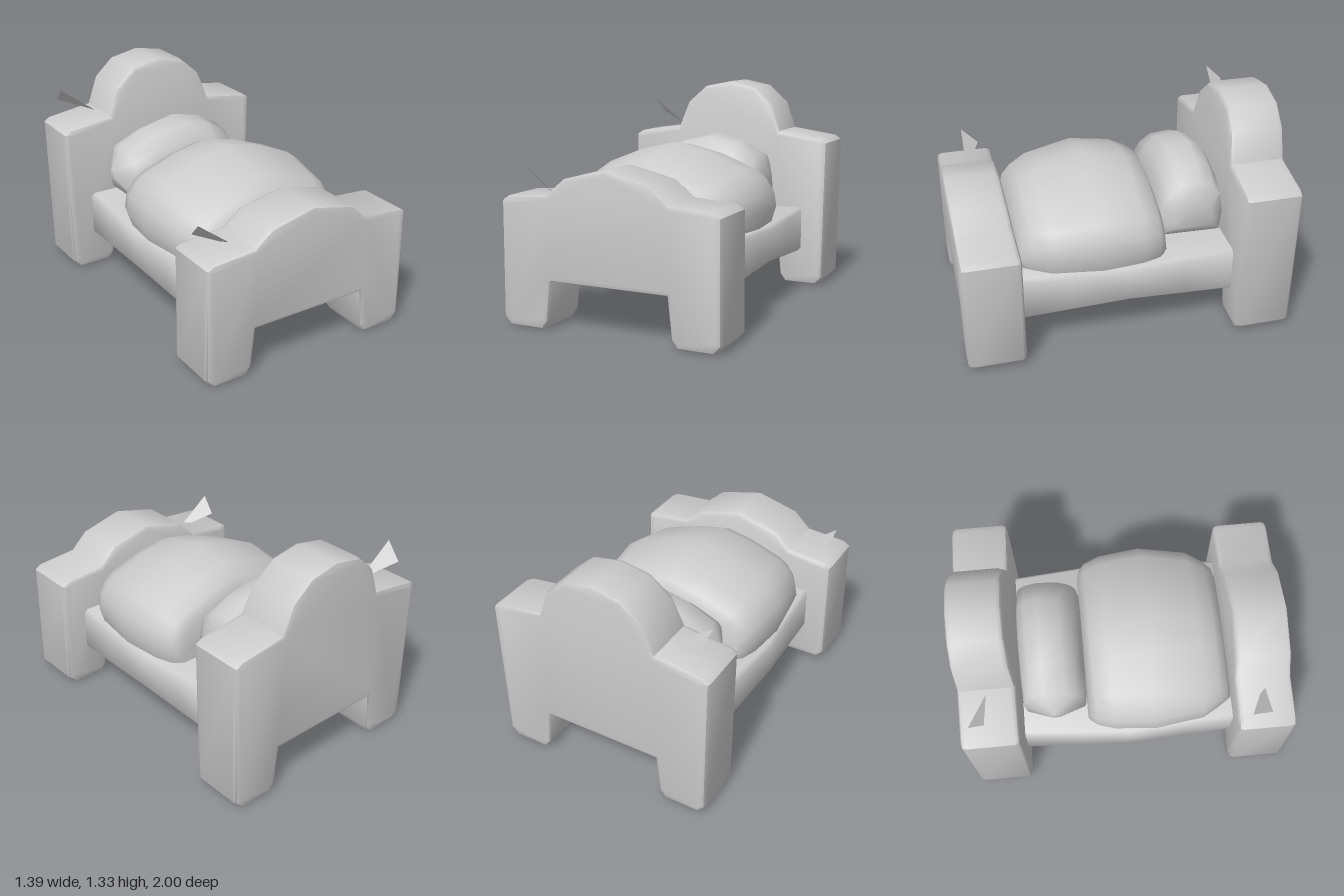
import * as THREE from 'three';
import { toCreasedNormals, mergeVertices } from 'three/addons/utils/BufferGeometryUtils.js';

const material = new THREE.MeshStandardMaterial({ color: 0xcccccc });

function addMesh(group, name, geometry, mat = material) {
  const mesh = new THREE.Mesh(geometry, mat);
  mesh.name = name;
  group.add(mesh);
  return mesh;
}

// Skin through closed rings of points, with a fan closing each end
function loft(rings, crease = 0.9) {
  const n = rings[0].length;
  const points = rings.flat();
  const index = [];
  for (let r = 0; r < rings.length - 1; r++) {
    for (let i = 0; i < n; i++) {
      const a = r * n + i, b = r * n + (i + 1) % n;
      index.push(a, b, b + n, a, b + n, a + n);
    }
  }
  const cap = (start, flip) => {
    const center = new THREE.Vector3();
    for (let i = 0; i < n; i++) center.addScaledVector(points[start + i], 1 / n);
    const c = points.push(center) - 1;
    for (let i = 0; i < n; i++) {
      const a = start + i, b = start + (i + 1) % n;
      index.push(c, flip ? b : a, flip ? a : b);
    }
  };
  cap(0, true);
  cap((rings.length - 1) * n, false);
  const g = new THREE.BufferGeometry().setFromPoints(points);
  g.setIndex(index);
  return toCreasedNormals(g, crease);
}

// End board: mirrored outline from the crotch round the leg to the arch top
function boardGeometry(half, z0, z1, lean) {
  const mirrored = half.slice(0, -1).reverse().map(([x, y]) => [-x, y]);
  const shape = new THREE.Shape([...half, ...mirrored].map(([x, y]) => new THREE.Vector2(x, y)));
  const bevel = 0.03;
  const g = new THREE.ExtrudeGeometry(shape, {
    depth: z1 - z0 - 2 * bevel, bevelSize: bevel, bevelThickness: bevel,
    bevelOffset: -bevel, bevelSegments: 2,
  });
  g.translate(0, 0, z0 + bevel);
  const p = g.attributes.position;
  for (let i = 0; i < p.count; i++) p.setZ(i, lean(p.getX(i), p.getY(i), p.getZ(i)));
  g.deleteAttribute('uv');
  g.deleteAttribute('normal');
  return toCreasedNormals(mergeVertices(g, 1e-4), 0.75);
}

// Thin folded splinter standing on a left-hand post
function splinterGeometry(y, z) {
  const g = new THREE.BufferGeometry().setFromPoints([
    new THREE.Vector3(-0.63, y + 0.175, z),
    new THREE.Vector3(-0.61, y + 0.08, z - 0.1),
    new THREE.Vector3(-0.4, y, z),
  ]);
  g.computeVertexNormals();
  return g;
}

export function createModel() {
  const group = new THREE.Group();
  group.name = 'bed';

  // Shared leg outline, inner side first
  const leg = [[0.36, 0.28], [0.385, 0.05], [0.42, 0], [0.635, 0], [0.68, 0.05]];

  // Headboard with tall arch
  addMesh(group, 'headboard', boardGeometry(
    [...leg, [0.695, 0.945], [0.655, 0.97], [0.37, 1.01], [0.305, 1.18], [0.18, 1.29], [0, 1.325]],
    -0.985, -0.645,
    (x, y, z) => {
      const t = Math.max(0, y - 0.95) / 0.375;
      return z > -0.8 ? z - 0.035 * t : z - 0.015 * t;
    }));

  // Footboard with low arch
  addMesh(group, 'footboard', boardGeometry(
    [...leg, [0.675, 0.725], [0.635, 0.75], [0.38, 0.77], [0.27, 0.865], [0, 0.93]],
    0.64, 0.985,
    (x, y, z) => {
      const t = Math.max(0, y - 0.72) / 0.21;
      return z < 0.8 ? z + 0.025 * t : z + 0.015 * t;
    }));

  // Frame: bows outwards and arches underneath
  const frameRings = [-0.68, -0.34, 0, 0.34, 0.68].map((z) => {
    const t = 1 - Math.abs(z) / 0.68;
    const w = 0.53 + 0.055 * t, low = 0.22 + 0.07 * t;
    return [[0, low + 0.025], [w - 0.02, low], [w, low + 0.02], [w, 0.49], [w - 0.02, 0.51],
      [-w + 0.02, 0.51], [-w, 0.49], [-w, low + 0.02], [-w + 0.02, low]]
      .map(([x, y]) => new THREE.Vector3(x, y, z));
  });
  addMesh(group, 'frame', loft(frameRings));

  // Quilt: arched sections along the bed as z, half width, top height
  const arch = [[0.95, 0], [1, 0.2], [0.97, 0.42], [0.88, 0.6], [0.76, 0.71], [0.36, 0.9], [0, 1]];
  const section = [...arch, ...arch.slice(0, -1).reverse().map(([x, y]) => [-x, y])];
  const quiltRings = [
    [-0.25, 0.46, 0.62], [-0.235, 0.49, 0.82], [-0.2, 0.525, 0.91], [-0.1, 0.56, 0.96],
    [0.15, 0.585, 1.0], [0.45, 0.54, 0.925], [0.55, 0.48, 0.87], [0.605, 0.44, 0.8], [0.635, 0.41, 0.6],
  ].map(([z, w, top]) => section.map(([x, y]) => new THREE.Vector3(x * w, 0.515 + y * (top - 0.515), z)));
  addMesh(group, 'quilt', loft(quiltRings, 1.1));

  // Pillow: rounded z-y section swept across x, with a pointed left end
  const pillowSection = [[-0.63, 0.53], [-0.645, 0.7], [-0.625, 0.88], [-0.58, 0.96], [-0.5, 1.0],
    [-0.37, 0.98], [-0.3, 0.91], [-0.26, 0.82], [-0.24, 0.62], [-0.25, 0.54]];
  const pillowRings = [
    [-0.48, 0.12, 0.74, 0.68], [-0.39, 0.93, 0.87, 0.55], [-0.22, 0.98, 0.95, 0.53], [0, 1, 1, 0.53],
    [0.18, 1, 0.96, 0.53], [0.32, 0.96, 0.88, 0.54], [0.36, 0.6, 0.76, 0.6],
  ].map(([x, depth, top, low]) => pillowSection.map(([z, y]) => new THREE.Vector3(
    x, low + (y - 0.53) / 0.47 * (top - low), -0.44 + (z + 0.44) * depth)));
  addMesh(group, 'pillow', loft(pillowRings, 1.1));

  // Splinters on the left-hand posts
  const thin = new THREE.MeshStandardMaterial({ color: 0xcccccc, side: THREE.DoubleSide });
  addMesh(group, 'headSplinter', splinterGeometry(1.01, -0.82), thin);
  addMesh(group, 'footSplinter', splinterGeometry(0.735, 0.82), thin);

  return group;
}
